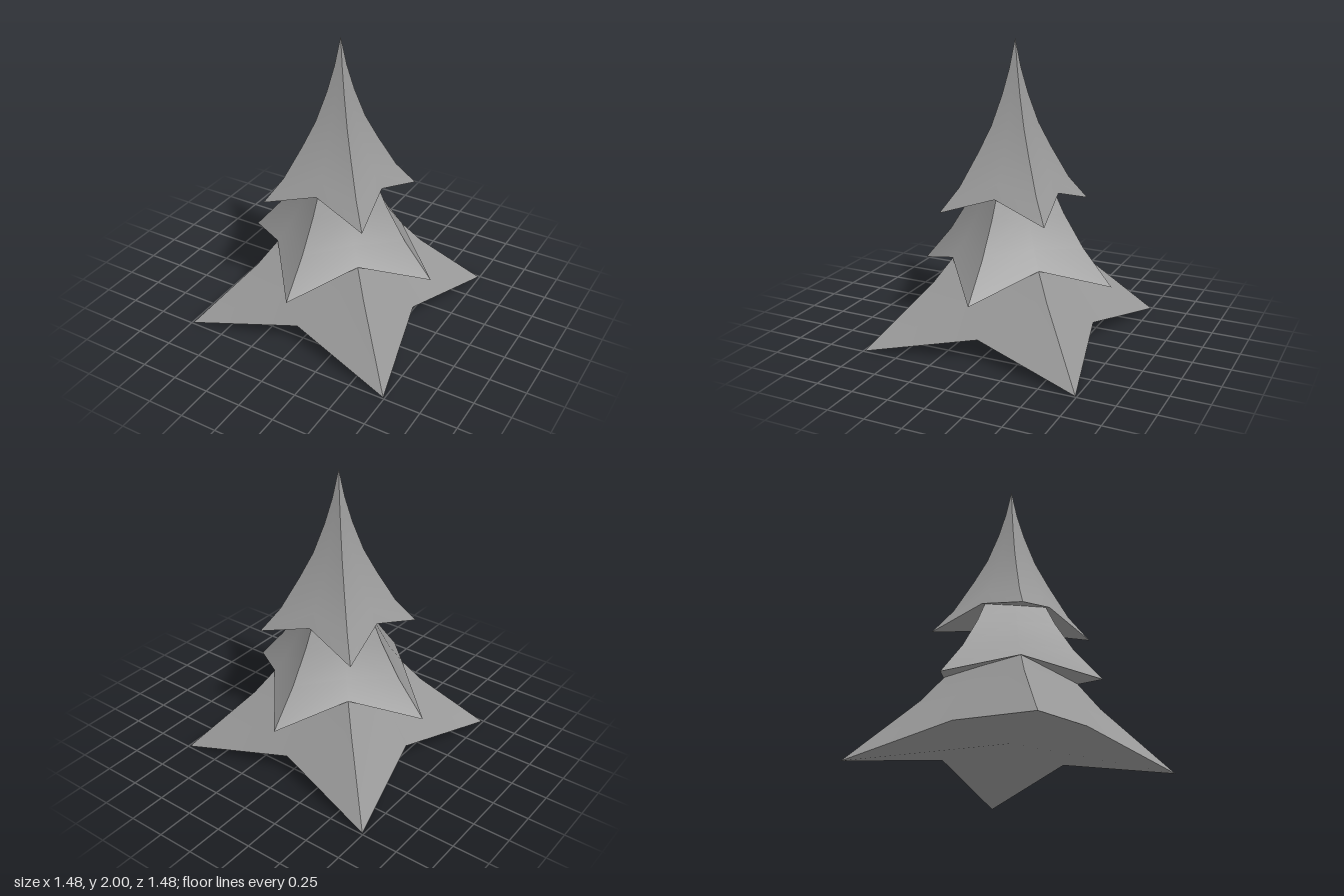
import * as THREE from 'three';
import { toCreasedNormals } from 'three/addons/utils/BufferGeometryUtils.js';

// One tier of branches: a four-pointed skirt built from eight-sided rings.
// Each ring is [tip radius, tip height, hollow radius, hollow height], lowest first.
function tierGeometry(rings, turn, undersideY, topY) {
  const points = rings.map(([tipR, tipY, hollowR, hollowY]) =>
    Array.from({ length: 8 }, (_, i) => {
      const angle = turn + (i * Math.PI) / 4;
      const r = i % 2 ? hollowR : tipR;
      return [r * Math.sin(angle), i % 2 ? hollowY : tipY, r * Math.cos(angle)];
    })
  );
  const under = [0, undersideY, 0];
  const top = [0, topY, 0];
  const last = points.length - 1;
  const out = [];
  const tri = (...corners) => corners.forEach((p) => out.push(...p));

  for (let i = 0; i < 8; i++) {
    const j = (i + 1) % 8;
    tri(under, points[0][j], points[0][i]);
    for (let k = 0; k < last; k++) {
      const [a, b, c, d] = [points[k][i], points[k][j], points[k + 1][j], points[k + 1][i]];
      // Split symmetrically so the diagonals always start from the tip rib
      if (i % 2) {
        tri(a, b, d);
        tri(b, c, d);
      } else {
        tri(a, b, c);
        tri(a, c, d);
      }
    }
    tri(points[last][i], points[last][j], top);
  }
  const geometry = new THREE.BufferGeometry();
  geometry.setAttribute('position', new THREE.Float32BufferAttribute(out, 3));
  return toCreasedNormals(geometry, Math.PI / 6);
}

export function createModel() {
  const tree = new THREE.Group();
  tree.name = 'pineTree';
  const material = new THREE.MeshStandardMaterial({ color: 0x9a9a9a });
  const diagonal = Math.PI / 4;
  const D = Math.SQRT2; // tips on the diagonals are given by their x offset

  const tiers = [
    {
      name: 'lowerBranches', turn: diagonal, undersideY: 0.155, topY: 0.68,
      rings: [
        [0.74 * D, 0, 0.57, 0.15],
        [0.41 * D, 0.41, 0.39, 0.42],
        [0.295 * D, 0.595, 0.29, 0.595],
        [0.24 * D, 0.68, 0.24, 0.68],
      ],
    },
    {
      name: 'middleBranches', turn: 0, undersideY: 0.71, topY: 1.05,
      rings: [
        [0.69, 0.42, 0.31 * D, 0.575],
        [0.49, 0.66, 0.25 * D, 0.69],
        [0.35, 0.88, 0.178 * D, 0.885],
        [0.265, 1.05, 0.135 * D, 1.05],
      ],
    },
    {
      name: 'topBranches', turn: diagonal, undersideY: 1.1, topY: 2,
      rings: [
        [0.37 * D, 0.89, 0.31, 1.01],
        [0.272 * D, 1.05, 0.26, 1.105],
        [0.18 * D, 1.27, 0.175, 1.285],
        [0.116 * D, 1.44, 0.116, 1.44],
        [0.063 * D, 1.64, 0.063, 1.64],
        [0.028 * D, 1.81, 0.028, 1.81],
      ],
    },
  ];

  for (const { name, rings, turn, undersideY, topY } of tiers) {
    const mesh = new THREE.Mesh(tierGeometry(rings, turn, undersideY, topY), material);
    mesh.name = name;
    tree.add(mesh);
  }
  return tree;
}
